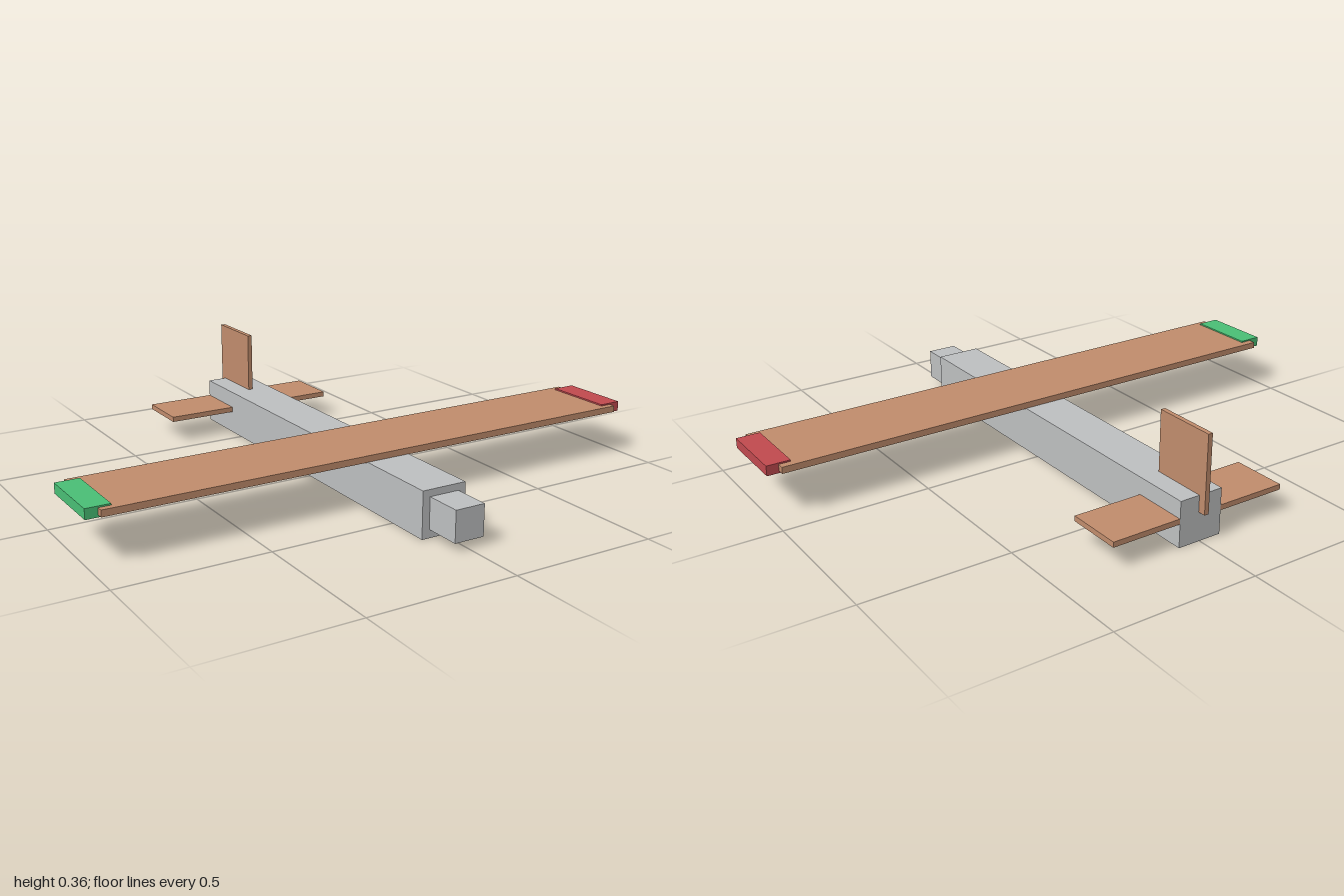
import * as THREE from 'three';

const material = (name, color) => {
  const m = new THREE.MeshStandardMaterial({ color });
  m.name = name;
  return m;
};

export function createModel() {
  const grey = material('light grey', 0xbfc1c2);
  const wood = material('wood', 0xc28d6d);
  const red = material('red', 0xc24a4f);
  const green = material('green', 0x4ac076);

  const model = new THREE.Group();
  model.name = 'modelAirplane';

  // Box given by its minimum and maximum along each axis
  const addBox = (name, mat, [x0, x1], [y0, y1], [z0, z1]) => {
    const mesh = new THREE.Mesh(new THREE.BoxGeometry(x1 - x0, y1 - y0, z1 - z0), mat);
    mesh.position.set((x0 + x1) / 2, (y0 + y1) / 2, (z0 + z1) / 2);
    mesh.name = name;
    model.add(mesh);
  };

  // Body
  addBox('fuselage', grey, [-0.078, 0.078], [0, 0.155], [-0.756, 0.655]);
  addBox('nose', grey, [-0.052, 0.052], [0.028, 0.132], [0.655, 0.782]);

  // Main wing with coloured tip blocks wrapped over its ends
  addBox('wing', wood, [-0.96, 0.96], [0.154, 0.176], [0.066, 0.357]);
  addBox('leftWingTip', red, [0.92, 1], [0.147, 0.181], [0.091, 0.335]);
  addBox('rightWingTip', green, [-1, -0.92], [0.147, 0.181], [0.091, 0.335]);

  // Tail surfaces
  addBox('tailplane', wood, [-0.32, 0.32], [0.079, 0.097], [-0.755, -0.565]);
  addBox('fin', wood, [-0.008, 0.008], [0.099, 0.361], [-0.782, -0.565]);

  return model;
}
